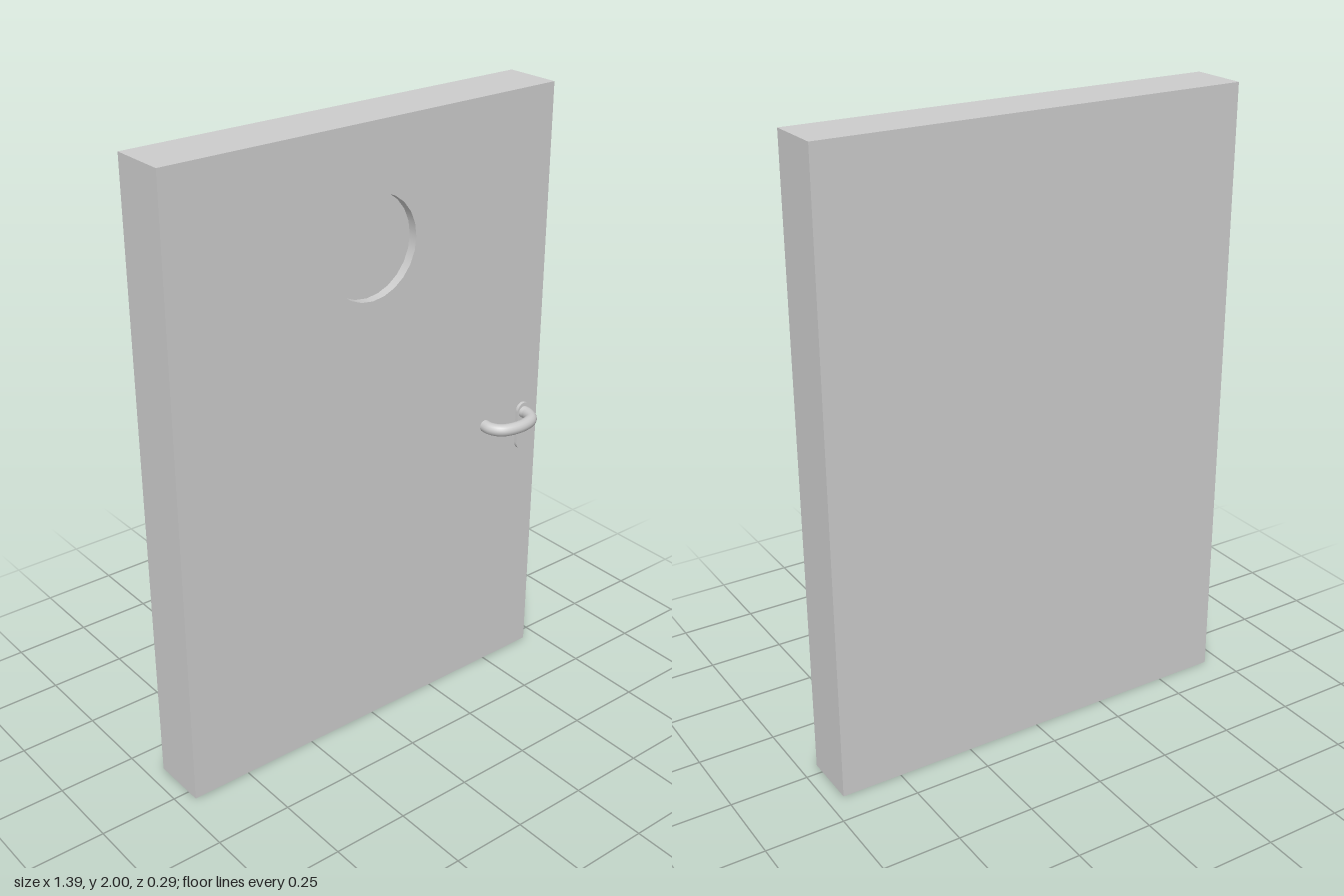
import * as THREE from 'three';
import { mergeGeometries } from 'three/addons/utils/BufferGeometryUtils.js';

const W = 0.697, H = 2, FRONT = 0.04, BACK = -0.145;
const PORT = { y: 1.63, r: 0.162, depth: 0.03, sides: 24 };

export function createModel() {
  const model = new THREE.Group();
  const grey = new THREE.MeshStandardMaterial({ color: 0xcccccc });
  const greyInside = new THREE.MeshStandardMaterial({ color: 0xcccccc, side: THREE.DoubleSide });
  const add = (name, geometry, material = grey) => {
    const mesh = new THREE.Mesh(geometry, material);
    mesh.name = name;
    model.add(mesh);
    return mesh;
  };

  // Door slab: a box whose front face is replaced by one with a round opening
  const box = new THREE.BoxGeometry(2 * W, H, FRONT - BACK);
  box.translate(0, H / 2, (FRONT + BACK) / 2);
  const index = Array.from(box.index.array);
  index.splice(24, 6);
  box.setIndex(index);
  box.clearGroups();
  const face = new THREE.Shape([[-W, 0], [W, 0], [W, H], [-W, H]].map(p => new THREE.Vector2(...p)));
  face.holes.push(new THREE.Path().absarc(0, PORT.y, PORT.r, 0, Math.PI * 2, true));
  const faceGeometry = new THREE.ShapeGeometry(face, PORT.sides / 2).translate(0, 0, FRONT);
  add('doorSlab', mergeGeometries([box, faceGeometry]));

  // Shallow round window recess
  const wall = new THREE.CylinderGeometry(PORT.r, PORT.r, PORT.depth, PORT.sides, 1, true);
  wall.rotateX(Math.PI / 2).translate(0, PORT.y, FRONT - PORT.depth / 2);
  add('windowRim', wall, greyInside);
  add('windowPane', new THREE.CircleGeometry(PORT.r, PORT.sides).translate(0, PORT.y, FRONT - PORT.depth));

  // Rounded lock plate
  const px = 0.63, pr = 0.027;
  const plate = new THREE.Shape();
  plate.absarc(px, 0.93, pr, 0, Math.PI, false);
  plate.absarc(px, 0.817, pr, Math.PI, Math.PI * 2, false);
  add('lockPlate', new THREE.ExtrudeGeometry(plate, { depth: 0.01, bevelEnabled: false, curveSegments: 12 })
    .translate(0, 0, FRONT));

  // Curved lever handle, its free end turned back towards the door
  const hy = 0.925, hr = 0.02;
  const path = new THREE.CatmullRomCurve3([
    [0.628, 0.042], [0.628, 0.07], [0.606, 0.107], [0.543, 0.123],
    [0.48, 0.107], [0.459, 0.075], [0.459, 0.047],
  ].map(([x, z]) => new THREE.Vector3(x, hy, z)));
  add('handle', new THREE.TubeGeometry(path, 40, hr, 16));
  const cap = new THREE.CircleGeometry(hr, 16).rotateY(Math.PI).translate(0.459, hy, 0.047);
  add('handleEnd', cap, greyInside);

  return model;
}
